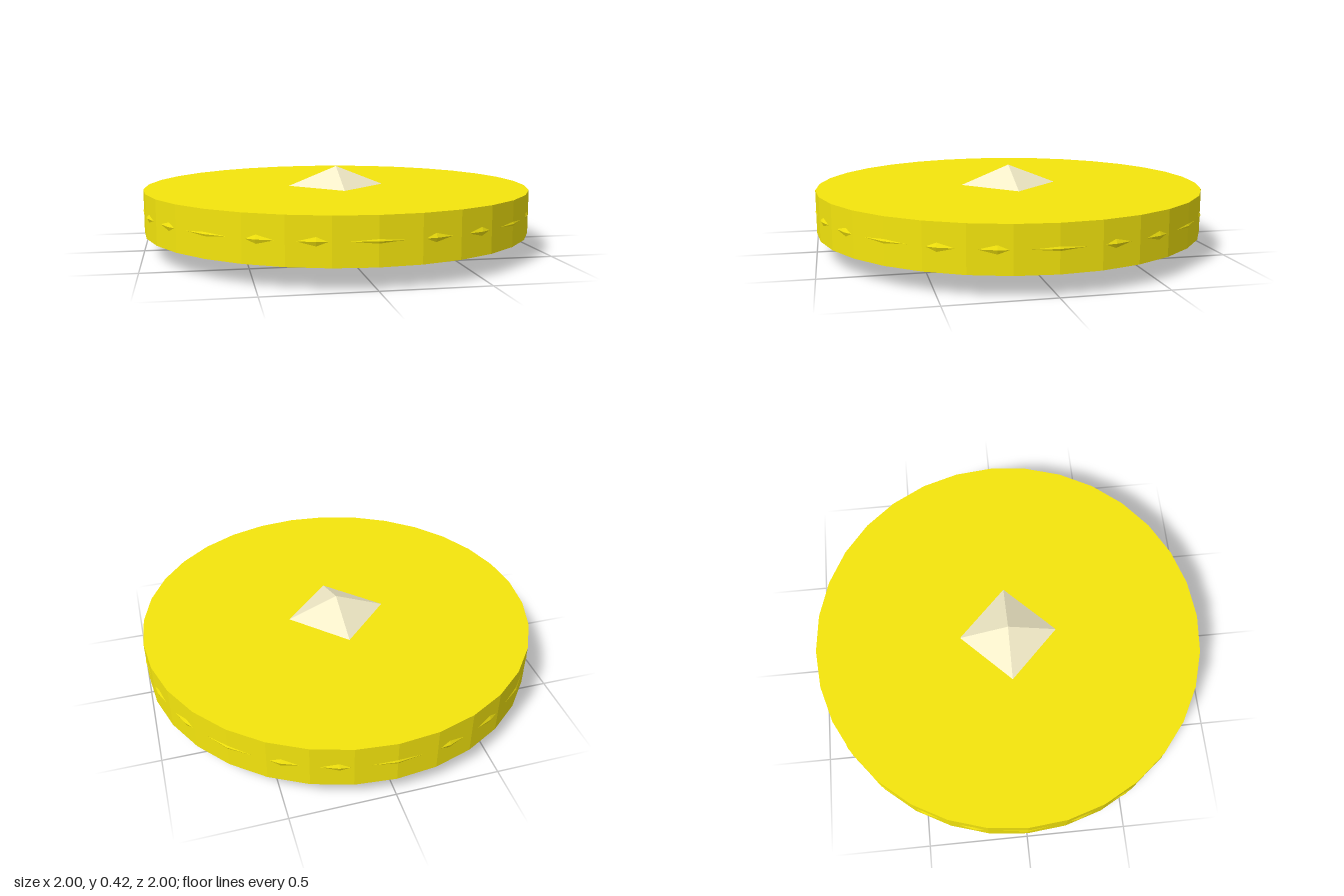
import * as THREE from 'three';

const MID = 0.21; // height of the disc's mid plane

export function createModel() {
  const model = new THREE.Group();
  const yellow = new THREE.MeshStandardMaterial({ color: 0xf5e60d, flatShading: true });
  const cream = new THREE.MeshStandardMaterial({ color: 0xf3ecc8, flatShading: true });

  const add = (name, geometry, material) => {
    const mesh = new THREE.Mesh(geometry, material);
    mesh.name = name;
    mesh.position.y = MID;
    model.add(mesh);
    return mesh;
  };

  // Flat faceted disc
  add('disc', new THREE.CylinderGeometry(0.996, 0.996, 0.22, 32), yellow);

  // Embedded ring whose corners just break through the rim
  add('rimRing', new THREE.TorusGeometry(0.9, 0.1, 8, 24).rotateX(Math.PI / 2), yellow);

  // Squashed octahedron through the centre, showing as a pyramid on each face
  add('centreGem', new THREE.OctahedronGeometry(1).scale(0.525, 0.21, 0.525), cream);

  return model;
}
